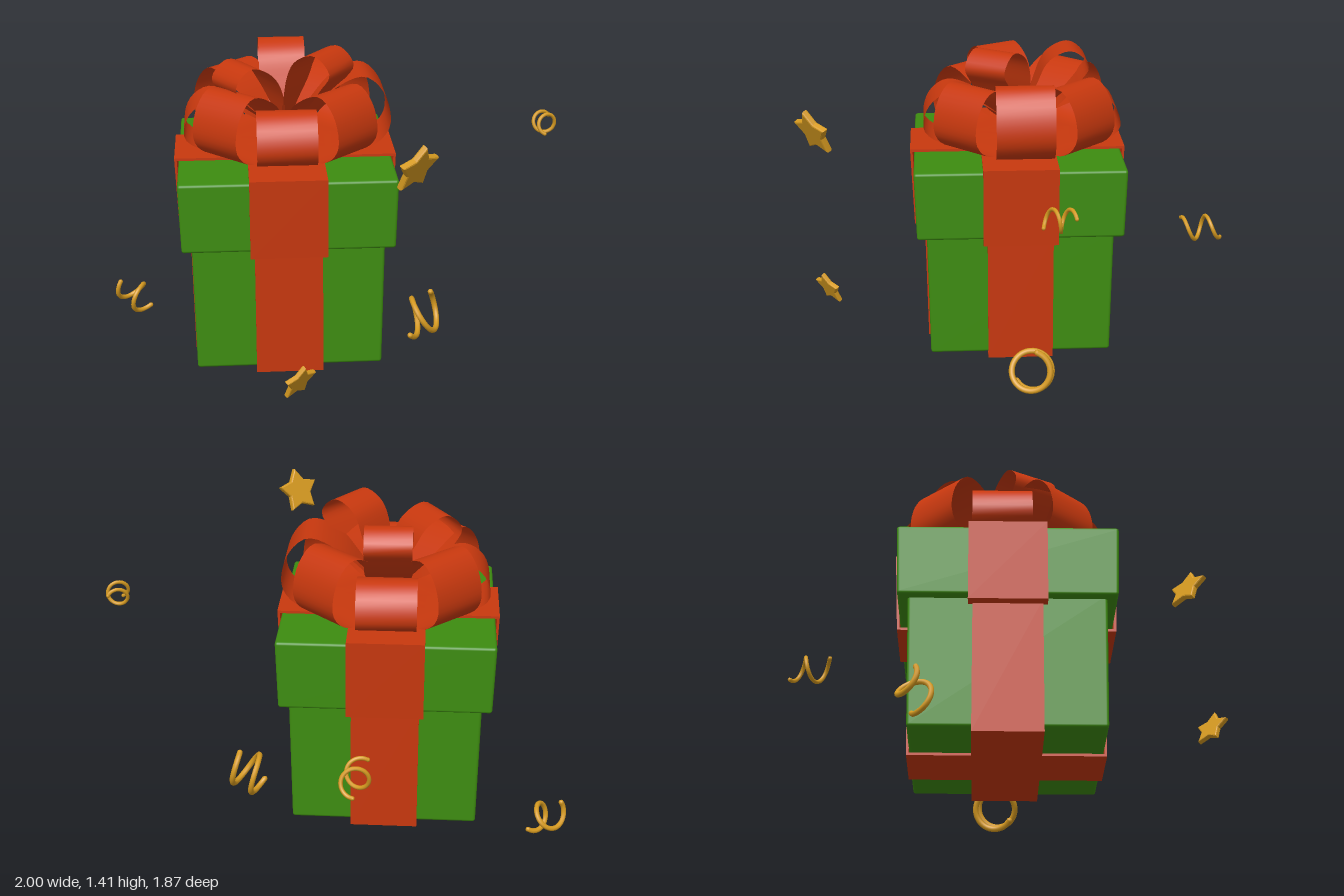
import * as THREE from 'three';
import { RoundedBoxGeometry } from 'three/addons/geometries/RoundedBoxGeometry.js';

const V = (x, y, z) => new THREE.Vector3(x, y, z);

export function createModel() {
  const mat = (name, color) => {
    const m = new THREE.MeshStandardMaterial({ color, side: THREE.DoubleSide });
    m.name = name;
    return m;
  };
  const green = mat('green paper', 0x3d8c10);
  const red = mat('red ribbon', 0xc8380e);
  const gold = mat('gold confetti', 0xd69a20);

  const model = new THREE.Group();
  const add = (parent, name, geo, material) => {
    const m = new THREE.Mesh(geo, material);
    m.name = name;
    parent.add(m);
    return m;
  };

  const gift = new THREE.Group();
  gift.name = 'gift';
  gift.position.x = -0.215;
  model.add(gift);

  // Slightly tapered boxes for the body and the lid
  const taperedBox = (name, y0, y1, bottom, top) => {
    const h = y1 - y0;
    const geo = new RoundedBoxGeometry(2 * top, h, 2 * top, 2, 0.012);
    const p = geo.attributes.position;
    for (let i = 0; i < p.count; i++) {
      const k = THREE.MathUtils.lerp(bottom / top, 1, p.getY(i) / h + 0.5);
      p.setX(i, p.getX(i) * k);
      p.setZ(i, p.getZ(i) * k);
    }
    add(gift, name, geo, green).position.y = (y0 + y1) / 2;
  };
  taperedBox('boxBody', 0.125, 0.7, 0.395, 0.404);
  taperedBox('boxLid', 0.677, 0.98, 0.445, 0.454);

  // Flat ribbon bands wrapped around body and lid, in both directions
  const band = (name, y0, y1, bottom, top, width) => {
    const t = 0.011;
    const outline = (d) => [[-bottom + d, y0 + d], [bottom - d, y0 + d], [top - d, y1 - d], [-top + d, y1 - d]]
      .map(([x, y]) => new THREE.Vector2(x, y));
    const shape = new THREE.Shape(outline(0));
    shape.holes.push(new THREE.Path(outline(t)));
    const geo = new THREE.ExtrudeGeometry(shape, { depth: width, bevelEnabled: false });
    geo.translate(0, 0, -width / 2);
    add(gift, name + 'Sideways', geo, red);
    add(gift, name + 'Lengthways', geo, red).rotation.y = Math.PI / 2;
  };
  band('bodyRibbon', 0.1, 0.67, 0.405, 0.414, 0.285);
  band('lidRibbon', 0.65, 0.995, 0.457, 0.471, 0.322);

  // Bow loops: a strip swept along a teardrop profile, narrow at the knot
  const bow = new THREE.Group();
  bow.name = 'bow';
  bow.position.set(0, 0, -0.022);
  gift.add(bow);

  const bowLoop = (name, profile, width, degrees) => {
    const curve = new THREE.CatmullRomCurve3(profile.map(([r, y]) => V(r, y, 0)));
    const n = 40;
    const pos = [], index = [];
    for (let i = 0; i <= n; i++) {
      const u = i / n;
      const p = curve.getPointAt(u);
      const w = width * (0.45 + 0.55 * THREE.MathUtils.smoothstep(Math.min(u, 1 - u), 0, 0.25)) / 2;
      pos.push(p.x, p.y, -w, p.x, p.y, w);
      if (i < n) {
        const a = 2 * i;
        index.push(a, a + 2, a + 1, a + 1, a + 2, a + 3);
      }
    }
    const geo = new THREE.BufferGeometry();
    geo.setAttribute('position', new THREE.Float32BufferAttribute(pos, 3));
    geo.setIndex(index);
    geo.computeVertexNormals();
    add(bow, name, geo, red).rotation.y = THREE.MathUtils.degToRad(degrees);
  };

  // Profile of a lying loop of reach R and top height H
  const lying = (R, H) => {
    const h = H - 1;
    return [[0.01, 1.01], [0.45 * R, 1.005], [0.84 * R, 1.015], [R, 1 + 0.3 * h],
      [0.95 * R, 1 + 0.75 * h], [0.76 * R, H], [0.45 * R, 1 + 0.82 * h], [0.02, 1.06]];
  };
  // Profile of a raised loop, leaning outward
  const raised = (d) => [[0.01, 1.05], [0.13, 1.14], [0.25, 1.27 + d], [0.293, 1.34 + d],
    [0.22, 1.41 + d], [0.12, 1.37 + d], [0.06, 1.25], [0.01, 1.1]];

  [[0, 0.45, 1.32], [45, 0.43, 1.3], [90, 0.43, 1.22], [135, 0.42, 1.3],
    [180, 0.425, 1.22], [225, 0.42, 1.29], [270, 0.43, 1.235], [315, 0.42, 1.29]]
    .forEach(([deg, R, H]) => bowLoop('lowerLoop', lying(R, H), 0.25, deg));
  [[90, 0], [210, -0.03], [325, 0.025]]
    .forEach(([deg, d]) => bowLoop('upperLoop', raised(d), 0.2, deg));

  // Confetti stars
  const star = (x, y, z, R) => {
    const shape = new THREE.Shape();
    for (let i = 0; i < 10; i++) {
      const a = Math.PI / 2 + i * Math.PI / 5;
      const r = i % 2 ? R * 0.52 : R * 0.93;
      shape[i ? 'lineTo' : 'moveTo'](r * Math.cos(a), r * Math.sin(a));
    }
    shape.closePath();
    const geo = new THREE.ExtrudeGeometry(shape, {
      depth: R * 0.14, bevelEnabled: true, bevelSize: R * 0.07, bevelThickness: R * 0.07, bevelSegments: 2,
    });
    geo.translate(0, 0, -R * 0.07);
    const m = add(model, 'confettiStar', geo, gold);
    m.position.set(x, y, z);
    m.lookAt(x - 0.6, y + 0.4, z - 0.7);
  };
  star(0.255, 1.18, 0.86, 0.103);
  star(-0.2, 0.29, 0.86, 0.08);

  // Confetti streamers: short helices along a tilted axis
  const streamer = (center, axis, radius, length, turns, phase, thick) => {
    const pts = [];
    for (let i = 0; i <= 32; i++) {
      const u = i / 32;
      const a = phase + u * turns * Math.PI * 2;
      pts.push(V(radius * Math.cos(a), radius * Math.sin(a), (u - 0.5) * length));
    }
    const geo = new THREE.TubeGeometry(new THREE.CatmullRomCurve3(pts), 64, thick, 8);
    const m = add(model, 'confettiStreamer', geo, gold);
    m.position.copy(center);
    m.lookAt(center.clone().add(axis));
    // Rounded tips
    [pts[0], pts[32]].forEach((p) => {
      const tip = new THREE.Mesh(new THREE.SphereGeometry(thick, 8, 6), gold);
      tip.name = 'streamerTip';
      tip.position.copy(p);
      m.add(tip);
    });
  };
  streamer(V(0.41, 0.14, -0.035), V(-0.9, -0.4, -0.15), 0.085, 0.15, 1.6, 1.9, 0.013);
  streamer(V(-0.91, 0.145, -0.355), V(0.7, -0.45, 0.5), 0.058, 0.15, 1.5, 2.5, 0.011);
  streamer(V(0.95, 1.03, -0.105), V(0.15, 0.1, 1), 0.043, 0.11, 1.6, 0.5, 0.008);
  streamer(V(-0.12, 0.58, -0.835), V(0.15, 0.1, -1), 0.052, 0.17, 1.6, 1, 0.009);

  return model;
}
